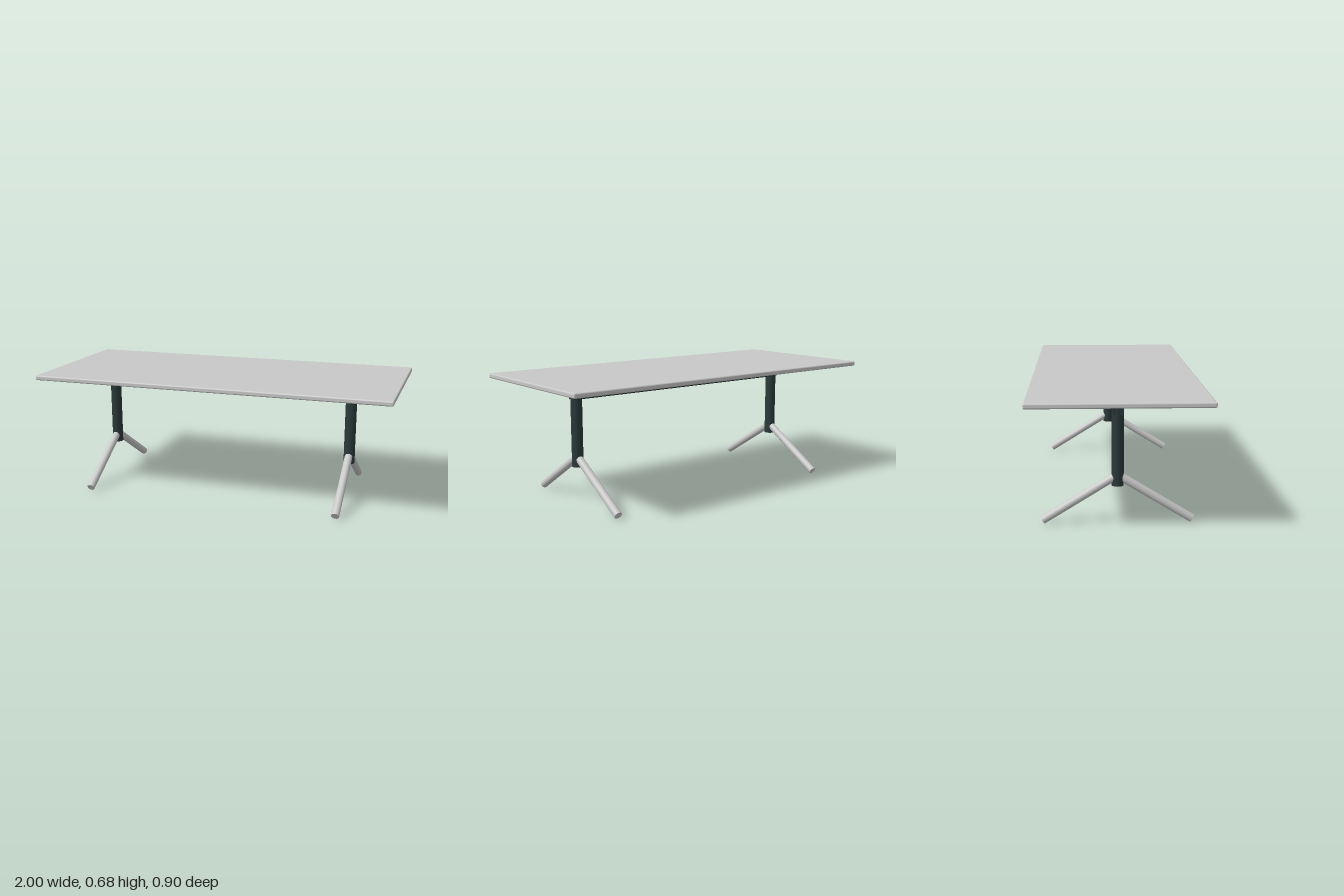
import * as THREE from 'three';
import { RoundedBoxGeometry } from 'three/addons/geometries/RoundedBoxGeometry.js';

export function createModel() {
  const group = new THREE.Group();
  const lightGrey = new THREE.MeshStandardMaterial({ color: 0xc8c8c8 });
  lightGrey.name = 'light grey';
  const darkSteel = new THREE.MeshStandardMaterial({ color: 0x2b3838 });
  darkSteel.name = 'dark steel';

  const add = (name, geometry, material, parent = group) => {
    const mesh = new THREE.Mesh(geometry, material);
    mesh.name = name;
    parent.add(mesh);
    return mesh;
  };

  // Thin top with softened edges
  add('tabletop', new RoundedBoxGeometry(2, 0.027, 0.9, 4, 0.008), lightGrey).position.y = 0.6675;

  // Twin rails with rounded upper and lower edges, running through both posts
  const railLength = 1.496, railHalf = 0.032, r = 0.0085;
  const section = new THREE.Shape();
  section.absarc(0, railHalf - r, r, 0, Math.PI);
  section.absarc(0, -railHalf + r, r, Math.PI, Math.PI * 2);
  section.closePath();
  const railGeometry = new THREE.ExtrudeGeometry(section, { depth: railLength, bevelEnabled: false, curveSegments: 10 });
  railGeometry.translate(0, 0, -railLength / 2).rotateY(Math.PI / 2);
  for (const side of [-1, 1]) {
    add(side > 0 ? 'frontRail' : 'backRail', railGeometry, darkSteel).position.set(0, 0.598, side * 0.0185);
  }

  // Each stand: an upright post with two splayed feet
  const postGeometry = new THREE.CylinderGeometry(0.031, 0.031, 0.455, 40);
  const top = new THREE.Vector3(0, 0.242, 0.02);
  const bottom = new THREE.Vector3(0, 0.0185, 0.381);
  const along = new THREE.Vector3().subVectors(top, bottom);
  const legGeometry = new THREE.CylinderGeometry(0.0215, 0.0215, along.length(), 32);
  legGeometry.applyQuaternion(new THREE.Quaternion().setFromUnitVectors(new THREE.Vector3(0, 1, 0), along.normalize()));
  legGeometry.translate(0, (top.y + bottom.y) / 2, (top.z + bottom.z) / 2);

  for (const x of [-0.72, 0.72]) {
    const stand = new THREE.Group();
    stand.name = x > 0 ? 'leftStand' : 'rightStand';
    stand.position.x = x;
    add('post', postGeometry, darkSteel, stand).position.y = 0.4275;
    add('frontLeg', legGeometry, lightGrey, stand);
    add('backLeg', legGeometry, lightGrey, stand).rotation.y = Math.PI;
    group.add(stand);
  }
  return group;
}
